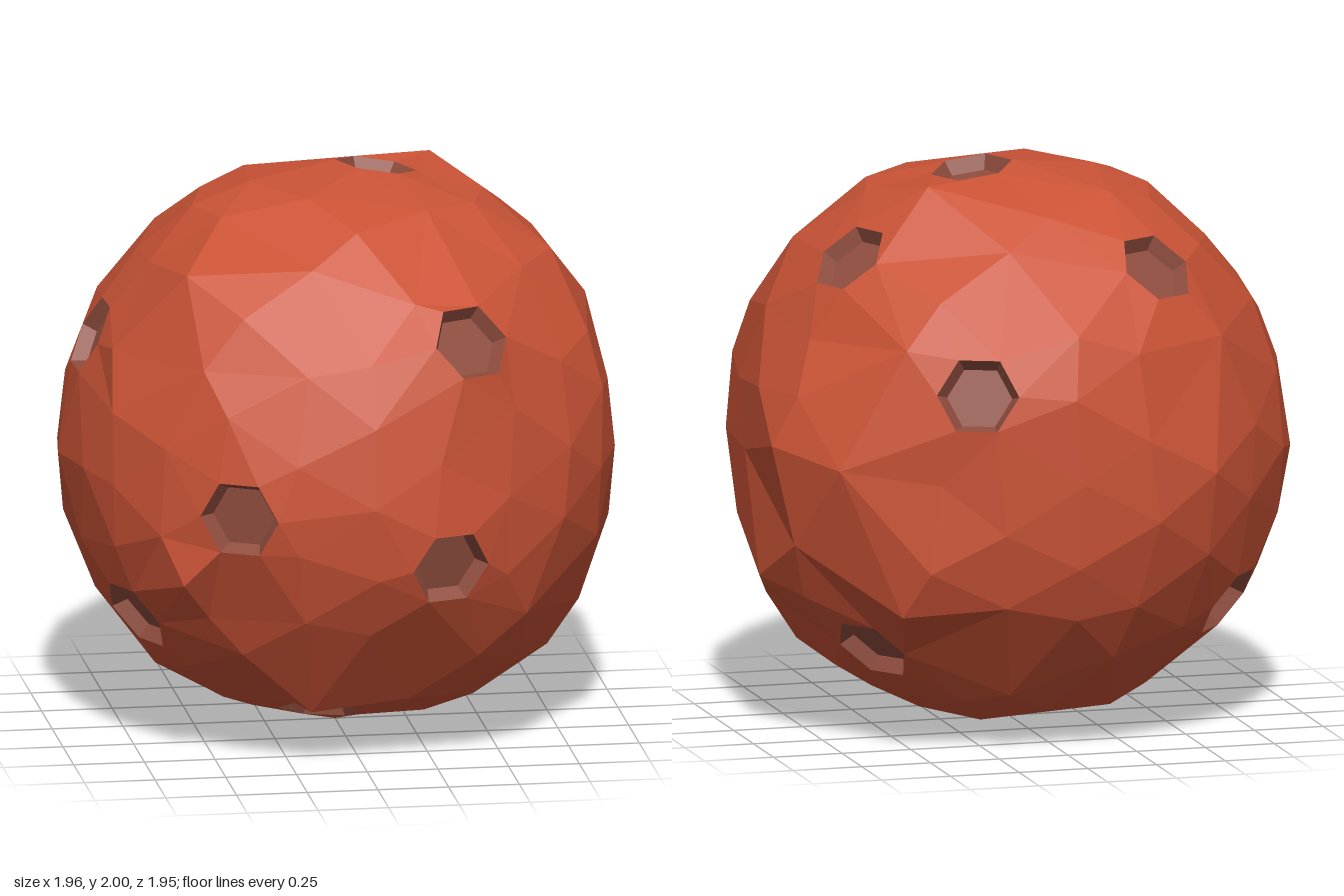
import * as THREE from 'three';
import { mergeVertices } from 'three/addons/utils/BufferGeometryUtils.js';
import { ConvexGeometry } from 'three/addons/geometries/ConvexGeometry.js';

const V = (x, y, z) => new THREE.Vector3(x, y, z);
const rad = THREE.MathUtils.degToRad;

// Rings around the lumpy ball: turn and tilt of the plane, then a radius every 30 degrees
const rings = [
  { turn: 0, tilt: 0, radii: [.96, 1.02, 1.04, 1, 1.01, .99, .98, .98, .955, 1, 1, 1.02] },
  { turn: -90, tilt: 0, radii: [.98, .97, 1.02, 1, 1, 1.03, .97, 1, 1.02, 1, 1, .97] },
  { turn: 0, tilt: -90, radii: [.96, 1, .98, .98, .98, .99, .96, .99, 1.01, .98, .97, 1.04] },
  { turn: 37, tilt: 26, radii: [1.04, 1.03, .99, 1.02, .98, 1.02, 1.01, .98, 1.04, .99, 1.05, 1.03] },
  { turn: 217, tilt: 26, radii: [.99, 1.02, 1, 1.02, 1.06, 1, 1.06, 1.07, 1.03, 1.01, .98, .98] },
  { turn: 143, tilt: -26, radii: [.97, 1.02, .96, 1, 1.04, 1.02, 1.01, 1.02, 1, .98, 1.02, .98] },
];

// Prominent corners of the rock
const corners = [[-.65, -.3, .77], [.81, .04, -.68], [.98, .09, -.41], [.95, -.42, -.15],
  [.38, .96, -.3], [-.6, .75, .5]].map(c => V(...c));

// Crater centres, measured from the middle of the ball
const craters = [[-.47, -.04, .87], [.27, -.23, .925], [.36, .55, .8], [.155, .975, -.07], [.66, .72, -.285],
  [.36, .32, -.865], [-.35, .7, -.65], [-.87, .43, .03], [.62, -.65, -.43], [-.11, -.87, .36],
  [-.76, -.5, .37], [-.65, -.53, -.51]].map(c => V(...c));

function ringPoints({ turn, tilt, radii }) {
  const a = rad(turn), t = rad(tilt);
  const across = V(Math.cos(a), 0, -Math.sin(a));
  const up = V(-Math.sin(t) * Math.sin(a), Math.cos(t), -Math.sin(t) * Math.cos(a));
  return radii.map((r, i) => V(0, 0, 0)
    .addScaledVector(across, r * Math.cos(i * Math.PI / 6))
    .addScaledVector(up, r * Math.sin(i * Math.PI / 6)));
}

// Known surface points, corners first
const polar = p => ({ dir: p.clone().normalize(), r: p.length() });
const samples = [...corners, ...rings.flatMap(ringPoints)].map(polar);
const pits = craters.map(polar);
const anchors = [...samples, ...pits];

// Smoothly blended radius in any direction
function radiusAt(dir) {
  let sum = .12, weight = .12;
  for (const s of anchors) {
    const w = Math.exp(-dir.distanceToSquared(s.dir) / .04);
    sum += s.r * w;
    weight += w;
  }
  return sum / weight;
}

// Hexagon around the axis of a crater, with two corners level
function hexagon(centre, axis, size) {
  const e1 = V(0, 1, 0).cross(axis).normalize(), e2 = axis.clone().cross(e1);
  return Array.from({ length: 6 }, (_, i) => {
    const t = i * Math.PI / 3;
    return centre.clone().addScaledVector(e1, size * Math.cos(t)).addScaledVector(e2, size * Math.sin(t));
  });
}

// Separate triangles, so every face is flat
function facets(points) {
  const g = new THREE.BufferGeometry().setFromPoints(points);
  g.computeVertexNormals();
  return g;
}

export function createModel() {
  const rock = new THREE.MeshStandardMaterial({ color: 0xca5336 });
  rock.name = 'rust rock';
  const pit = new THREE.MeshStandardMaterial({ color: 0x8f4d3e });
  pit.name = 'brown crater';

  let seed = 7;
  const rand = () => (seed = (seed * 16807) % 2147483647) / 2147483647 - .5;

  // Surface points: known points first, then an even jittered ball in the gaps, clear of the craters
  const nodes = [];
  const addNode = (dir, r, gap) => {
    if (pits.every(c => c.dir.distanceTo(dir) > .215) && nodes.every(n => n.dir.distanceTo(dir) > gap))
      nodes.push({ dir, r, crater: -1 });
  };
  samples.forEach(s => addNode(s.dir, s.r, .16));
  const ball = new THREE.IcosahedronGeometry(1, 3);
  ball.deleteAttribute('uv');
  ball.deleteAttribute('normal');
  const pos = mergeVertices(ball, 1e-3).attributes.position;
  for (let i = 0; i < pos.count; i++) {
    const dir = V().fromBufferAttribute(pos, i);
    dir.add(V(rand(), rand(), rand()).multiplyScalar(.06)).normalize();
    addNode(dir, radiusAt(dir) + rand() * .01, .18);
  }

  // Crater rims
  const rims = craters.map((c, crater) => {
    const rim = hexagon(c, pits[crater].dir, .145);
    for (const p of rim) nodes.push({ ...polar(p), crater });
    return rim;
  });

  // Join the directions into triangles, leave the crater mouths open, then push each point out
  const hull = new ConvexGeometry(nodes.map(n => n.dir)).attributes.position;
  const nearest = p => nodes.reduce((a, b) => (b.dir.distanceToSquared(p) < a.dir.distanceToSquared(p) ? b : a));
  const skin = [];
  for (let i = 0; i < hull.count; i += 3) {
    const tri = [0, 1, 2].map(k => nearest(V().fromBufferAttribute(hull, i + k)));
    if (tri[0].crater >= 0 && tri.every(n => n.crater === tri[0].crater)) continue;
    skin.push(...tri.map(n => n.dir.clone().multiplyScalar(n.r)));
  }
  const model = new THREE.Group();
  model.name = 'crateredRock';
  const body = new THREE.Mesh(facets(skin), rock);
  body.name = 'rockSurface';
  model.add(body);

  // Craters: six sloping walls down to a smaller floor
  craters.forEach((c, k) => {
    const rim = rims[k], axis = pits[k].dir;
    const centre = c.clone().addScaledVector(axis, -.05);
    const floor = hexagon(centre, axis, .115);
    const tris = [];
    for (let i = 0; i < 6; i++) {
      const j = (i + 1) % 6;
      tris.push(rim[i], rim[j], floor[j], rim[i], floor[j], floor[i], centre, floor[i], floor[j]);
    }
    const crater = new THREE.Mesh(facets(tris), pit);
    crater.name = 'crater' + (k + 1);
    model.add(crater);
  });

  // Stand the ball on the ground
  for (const mesh of model.children) mesh.position.y = 1;
  return model;
}
